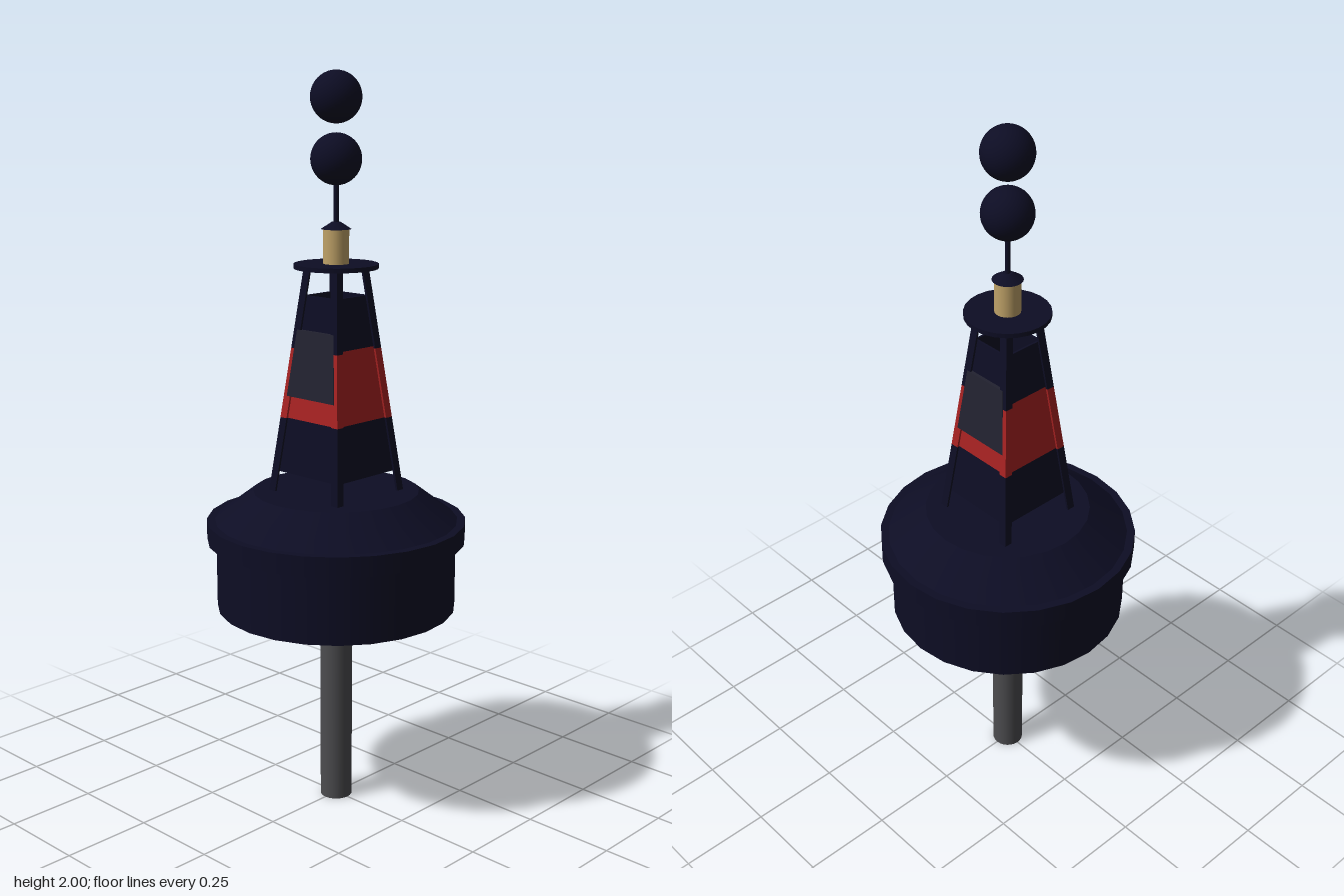
import * as THREE from 'three';

const mat = (name, color) => {
  const m = new THREE.MeshStandardMaterial({ color });
  m.name = name;
  return m;
};

// Half width of the tapering tower at height y
const SLOPE = 0.113;
const half = (y) => 0.129 - (y - 0.89) * SLOPE;

// L-shaped angle bar leaning inward with the tower, in the +x +z corner
function legGeometry(y0, y1) {
  const a = 0.023, t = 0.006;
  const shape = new THREE.Shape([
    [0, 0], [-a, 0], [-a, -t], [-t, -t], [-t, -a], [0, -a],
  ].map(([x, y]) => new THREE.Vector2(x, y)));
  const g = new THREE.ExtrudeGeometry(shape, { depth: y1 - y0, bevelEnabled: false });
  const p = g.attributes.position;
  for (let i = 0; i < p.count; i++) {
    const y = y0 + p.getZ(i);
    p.setXYZ(i, half(y) + p.getY(i), y, half(y) + p.getX(i));
  }
  g.computeVertexNormals();
  return g;
}

// Thin trapezoid board on the +z side of the tower
function boardGeometry(y0, y1, sideInset, faceInset, thick) {
  const g = new THREE.BoxGeometry(1, 1, 1);
  const p = g.attributes.position;
  for (let i = 0; i < p.count; i++) {
    const y = p.getY(i) > 0 ? y1 : y0;
    const z = half(y) - faceInset - (p.getZ(i) > 0 ? 0 : thick);
    p.setXYZ(i, Math.sign(p.getX(i)) * (half(y) - sideInset), y, z);
  }
  g.computeVertexNormals();
  return g;
}

export function createModel() {
  const navy = mat('navy', 0x0d0d24);
  const red = mat('red', 0xa82222);
  const panelGrey = mat('panel grey', 0x222230);
  const steel = mat('steel grey', 0x4c4c4f);
  const tan = mat('lantern tan', 0xbfa268);

  const model = new THREE.Group();
  model.name = 'buoy';
  const add = (name, geometry, material, parent = model) => {
    const mesh = new THREE.Mesh(geometry, material);
    mesh.name = name;
    parent.add(mesh);
    return mesh;
  };
  const drum = (name, rTop, rBottom, y0, y1, material, sides = 24) => {
    add(name, new THREE.CylinderGeometry(rTop, rBottom, y1 - y0, sides), material)
      .position.y = (y0 + y1) / 2;
  };

  // Float and tail tube
  drum('tailTube', 0.044, 0.044, 0, 0.6, steel);
  drum('floatBody', 0.327, 0.327, 0.57, 0.815, navy);
  drum('floatRim', 0.352, 0.352, 0.76, 0.815, navy);
  drum('floatDeck', 0.225, 0.33, 0.815, 0.895, navy);

  // Four sides of the tower: a leg and a stack of boards each
  for (let i = 0; i < 4; i++) {
    const side = new THREE.Group();
    side.name = ['frontSide', 'leftSide', 'backSide', 'rightSide'][i];
    side.rotation.y = i * Math.PI / 2;
    model.add(side);

    add('legLower', legGeometry(0.88, 1.097), navy, side);
    add('legBand', legGeometry(1.097, 1.285), red, side);
    add('legUpper', legGeometry(1.285, 1.5), navy, side);

    add('lowerBoard', boardGeometry(0.95, 1.097, 0.008, 0.008, 0.006), navy, side);
    add('bandBoard', boardGeometry(1.097, 1.29, 0.008, 0.008, 0.006), red, side);
    add('upperBoard', boardGeometry(1.29, 1.425, 0.008, 0.008, 0.006), navy, side);

    // Solar panel on front and back only
    if (i % 2 === 0) {
      add('solarPanel', boardGeometry(1.157, 1.335, 0.012, -0.001, 0.009), panelGrey, side);
    }
  }

  // Top platform, lantern and topmark
  drum('topPlatform', 0.112, 0.112, 1.496, 1.508, navy);
  drum('lantern', 0.034, 0.034, 1.508, 1.6, tan);
  drum('lanternCap', 0.012, 0.04, 1.598, 1.616, navy);
  drum('topmarkMast', 0.007, 0.007, 1.61, 1.75, navy, 12);
  for (const y of [1.777, 1.933]) {
    add('topmarkBall', new THREE.SphereGeometry(0.067, 32, 20), navy).position.y = y;
  }
  return model;
}
